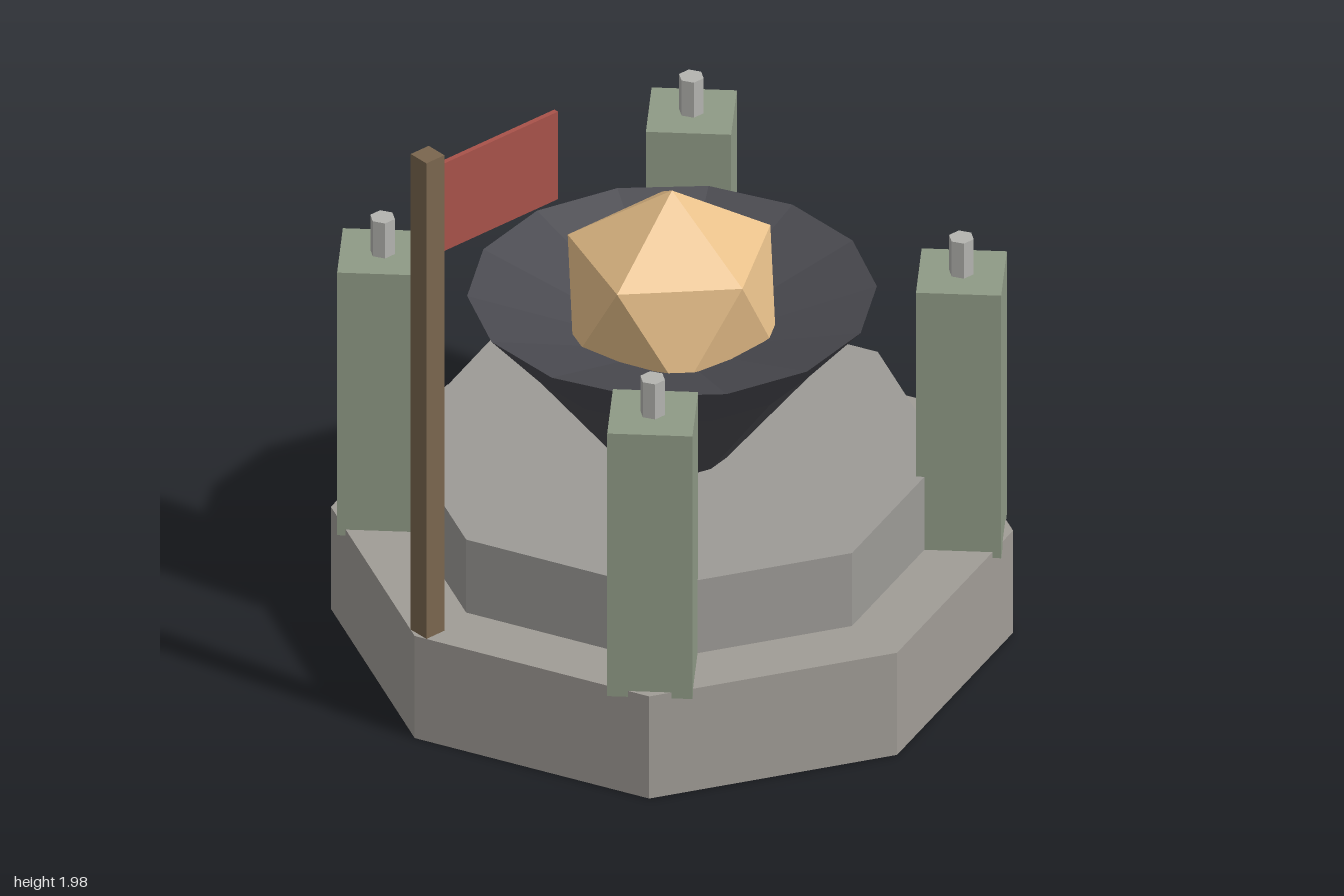
import * as THREE from 'three';

const paint = (color) => new THREE.MeshStandardMaterial({ color, flatShading: true });

export function createModel() {
  const model = new THREE.Group();
  const stone = paint(0xa09c96);
  const stoneLight = paint(0x9c9a96);
  const iron = paint(0x4a4a50);
  const moss = paint(0x8f9a86);
  const metal = paint(0xb4b4b0);
  const wood = paint(0x7a664e);
  const cloth = paint(0xa8524a);
  const amber = paint(0xe8c08a);

  const add = (name, geometry, material, x, y, z, parent = model) => {
    const mesh = new THREE.Mesh(geometry, material);
    mesh.name = name;
    mesh.position.set(x, y, z);
    parent.add(mesh);
    return mesh;
  };

  // Two stepped octagonal tiers
  add('baseTier', new THREE.CylinderGeometry(1, 1, 0.35, 8), stone, 0, 0.175, 0);
  add('upperTier', new THREE.CylinderGeometry(0.8, 0.8, 0.25, 8), stoneLight, 0, 0.475, 0);

  // Faceted bowl with a shallow dished top
  const profile = [[0, 0.59], [0.165, 0.59], [0.435, 0.94], [0.6, 1.13], [0, 0.93]]
    .map(([r, y]) => new THREE.Vector2(r, y));
  const bowl = add('bowl', new THREE.LatheGeometry(profile, 14), iron, 0, 0, 0);
  bowl.rotation.y = Math.PI / 2;

  // Gem resting in the bowl, one corner pointing up
  const gemGeometry = new THREE.IcosahedronGeometry(0.35, 0);
  gemGeometry.rotateX(-Math.atan((1 + Math.sqrt(5)) / 2));
  gemGeometry.rotateY(Math.PI / 2);
  add('gem', gemGeometry, amber, 0, 1.125, 0);

  // Four corner pillars, each with a hexagonal peg
  for (const x of [-0.6, 0.6]) {
    for (const z of [-0.6, 0.6]) {
      const pillar = new THREE.Group();
      pillar.name = (z > 0 ? 'front' : 'back') + (x > 0 ? 'Left' : 'Right') + 'Pillar';
      pillar.position.set(x, 0, z);
      model.add(pillar);
      const post = add('post', new THREE.BoxGeometry(0.25, 0.9, 0.25), moss, 0, 0.78, 0, pillar);
      post.rotation.y = Math.PI / 4;
      add('peg', new THREE.CylinderGeometry(0.038, 0.038, 0.13, 6), metal, 0, 1.285, 0, pillar);
    }
  }

  // Flagpole at the front, with the flag reaching inward
  add('flagpole', new THREE.BoxGeometry(0.07, 1.63, 0.07), wood, 0, 1.165, 0.95);
  add('flag', new THREE.BoxGeometry(0.016, 0.3, 0.47), cloth, 0, 1.78, 0.685);

  return model;
}
